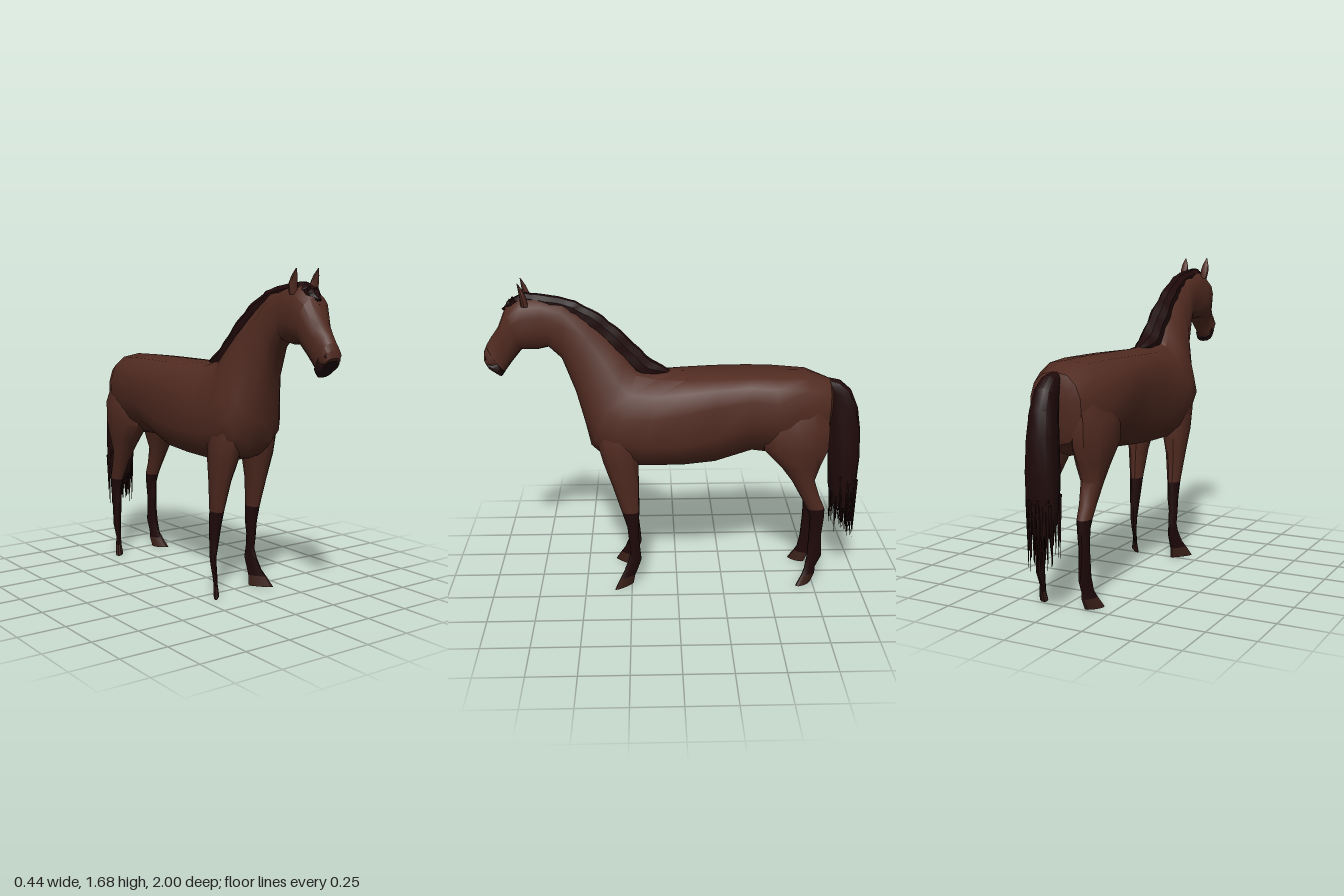
import * as THREE from 'three';
import { mergeGeometries, toCreasedNormals } from 'three/addons/utils/BufferGeometryUtils.js';

const mat = (name, color) => Object.assign(new THREE.MeshStandardMaterial({ color }), { name });

let seed = 7;
const rnd = () => (seed = (seed * 16807) % 2147483647) / 2147483647;

// Skin over a list of rings (arrays of Vector3), closed at both ends
function loft(rings, crease = 0.6) {
  const n = rings[0].length, pos = [], idx = [];
  rings.forEach(r => r.forEach(p => pos.push(p.x, p.y, p.z)));
  for (let i = 0; i < rings.length - 1; i++) {
    for (let j = 0; j < n; j++) {
      const a = i * n + j, b = i * n + (j + 1) % n;
      idx.push(a, b, a + n, b, b + n, a + n);
    }
  }
  [0, rings.length - 1].forEach(i => {
    const c = rings[i].reduce((s, p) => s.add(p), new THREE.Vector3()).divideScalar(n);
    const k = pos.length / 3;
    pos.push(c.x, c.y, c.z);
    for (let j = 0; j < n; j++) {
      const a = i * n + j, b = i * n + (j + 1) % n;
      if (i) idx.push(k, a, b); else idx.push(k, b, a);
    }
  });
  const g = new THREE.BufferGeometry();
  g.setAttribute('position', new THREE.Float32BufferAttribute(pos, 3));
  g.setIndex(idx);
  return toCreasedNormals(g, crease);
}

// Ring between an upper point (tz, ty) and a lower point (bz, by): half width w,
// squareness p of the upper and q of the lower half, height m of the widest place,
// wr the half width on the right where it differs
function section([tz, ty, bz, by, w, p = 0.85, m = 0.5, q = 0.85, wr = w], n = 14) {
  return Array.from({ length: n }, (_, j) => {
    const a = (j / n) * Math.PI * 2 + Math.PI / n, c = Math.cos(a), s = Math.sin(a);
    const e = s > 0 ? p : q;
    const v = Math.sign(s) * Math.abs(s) ** e;
    const h = v > 0 ? m + (1 - m) * v : m + m * v;
    return new THREE.Vector3(Math.sign(c) * Math.abs(c) ** e * (c > 0 ? w : wr), by + (ty - by) * h, bz + (tz - bz) * h);
  });
}

// Horizontal leg ring: height, front z, back z, inner x, outer x, outward slant of the toe
function legRing([y, zf, zb, xi, xo, slant = 0], side) {
  const rx = (xo - xi) / 2;
  return Array.from({ length: 10 }, (_, j) => {
    const a = (j / 10) * Math.PI * 2;
    const x = side * (xi + rx) + Math.cos(a) * rx * (1 - slant) + side * Math.sin(a) * rx * slant;
    return new THREE.Vector3(x, y, (zf + zb) / 2 + Math.sin(a) * (zf - zb) / 2);
  });
}

export function createModel() {
  const group = new THREE.Group();
  const coat = mat('brown coat', 0x512b21);
  const dark = mat('dark hair', 0x1f090a);
  const hoofMat = mat('hoof brown', 0x3a1f18);
  const add = (name, geo, m, parent = group) => {
    const mesh = new THREE.Mesh(geo, m);
    mesh.name = name;
    parent.add(mesh);
    return mesh;
  };

  // Trunk, neck and head in one skin, rump to nose
  const trunk = [
    [-0.83, 1.10, -0.81, 0.86, 0.09, 0.85],
    [-0.81, 1.15, -0.79, 0.80, 0.14, 0.85],
    [-0.69, 1.195, -0.68, 0.73, 0.185, 0.78, 0.55, 0.95, 0.195],
    [-0.52, 1.20, -0.52, 0.74, 0.215, 0.7, 0.58, 1, 0.228],
    [-0.38, 1.20, -0.40, 0.755, 0.19, 0.6, 0.55, 1, 0.228],
    [-0.20, 1.20, -0.20, 0.70, 0.205, 0.55, 0.48, 0.9, 0.218],
    [-0.04, 1.20, -0.03, 0.69, 0.222, 0.62, 0.43, 0.85, 0.208],
    [0.10, 1.205, 0.20, 0.685, 0.205, 0.85, 0.42],
    [0.20, 1.23, 0.38, 0.725, 0.19, 1, 0.38, 0.95, 0.198],
    [0.25, 1.30, 0.46, 0.80, 0.18, 1.1, 0.35, 0.95, 0.19],
    [0.32, 1.38, 0.485, 0.92, 0.143, 1.1, 0.35],
    [0.45, 1.49, 0.53, 1.09, 0.094, 1, 0.4],
    [0.58, 1.57, 0.595, 1.27, 0.077],
    [0.70, 1.60, 0.66, 1.335, 0.073],
    [0.80, 1.605, 0.72, 1.322, 0.088],
    [0.875, 1.55, 0.80, 1.325, 0.091],
    [0.92, 1.44, 0.85, 1.265, 0.064],
    [0.96, 1.385, 0.88, 1.225, 0.05],
    [0.985, 1.345, 0.895, 1.205, 0.05],
  ];
  add('body', loft(trunk.map(s => section(s)), 0.7), coat);

  // Nose above, dark lips below
  add('nose', loft([
    [0.985, 1.345, 0.915, 1.235, 0.05], [0.999, 1.31, 0.945, 1.23, 0.053], [1.0, 1.275, 0.975, 1.24, 0.042],
  ].map(s => section(s))), coat);
  add('lips', loft([
    [0.94, 1.27, 0.895, 1.203, 0.048], [0.975, 1.265, 0.912, 1.18, 0.052], [0.995, 1.262, 0.96, 1.212, 0.043],
  ].map(s => section(s))), dark);

  // Mane along the crest, ragged, ending in the forelock
  const crest = new THREE.CatmullRomCurve3([
    [0.03, 1.195], [0.14, 1.265], [0.29, 1.41], [0.42, 1.515], [0.55, 1.58], [0.68, 1.605], [0.79, 1.612], [0.86, 1.572], [0.89, 1.535],
  ].map(([z, y]) => new THREE.Vector3(0, y, z)));
  const N = 36;
  add('mane', loft(Array.from({ length: N + 1 }, (_, i) => {
    const u = i / N, p = crest.getPoint(u), t = crest.getTangent(u);
    const end = Math.min(1, 0.2 + 7 * u, 0.15 + 6 * (1 - u));
    const depth = (0.035 + 0.06 * (1 - u)) * end + rnd() * 0.014;
    const w = (0.036 + 0.026 * Math.max(0, 1 - 2.2 * u)) * end + rnd() * 0.012;
    const lift = rnd() * 0.008;
    return section([p.z - t.y * lift, p.y + t.z * lift, p.z + t.y * depth, p.y - t.z * depth, w, 0.9, 0.35], 8);
  }), 0.5), dark);

  // Loose locks hanging over the forehead
  const locks = [-0.036, -0.018, 0, 0.018, 0.036].map(x => {
    const g = new THREE.ConeGeometry(0.014, 0.08 + rnd() * 0.03, 4);
    g.rotateX(Math.PI - 0.6);
    return g.translate(x, 1.545, 0.868 - Math.abs(x) * 0.4);
  });
  add('forelock', mergeGeometries(locks), dark);

  // Ears and nostrils
  const earRings = [
    [1.68, 0.803, 0.799, 0.066, 0.07], [1.645, 0.798, 0.776, 0.05, 0.083],
    [1.61, 0.793, 0.76, 0.042, 0.09], [1.56, 0.79, 0.752, 0.04, 0.08],
  ];
  for (const side of [1, -1]) {
    const label = side > 0 ? 'left' : 'right';
    add(label + 'Ear', loft(earRings.map(r => legRing(r, side))), coat);
    const nostril = add(label + 'Nostril', new THREE.SphereGeometry(0.01, 8, 6), dark);
    nostril.scale.set(0.5, 1.2, 0.8);
    nostril.position.set(side * 0.045, 1.285, 0.982);
  }

  // Legs: brown upper part, dark stocking, hoof with the toe turned outward
  const front = [
    [1.0, 0.38, 0.20, 0.05, 0.165], [0.86, 0.43, 0.195, 0.02, 0.188], [0.73, 0.395, 0.20, 0.035, 0.185],
    [0.60, 0.35, 0.205, 0.066, 0.168], [0.44, 0.30, 0.205, 0.084, 0.151], [0.35, 0.272, 0.205, 0.088, 0.149],
    [0.28, 0.265, 0.208, 0.098, 0.146], [0.20, 0.255, 0.20, 0.10, 0.145, 0.2], [0.15, 0.27, 0.195, 0.098, 0.148, 0.45],
    [0.09, 0.295, 0.215, 0.10, 0.16, 0.6], [0.055, 0.315, 0.23, 0.098, 0.178, 0.68], [0, 0.345, 0.24, 0.09, 0.205, 0.7],
  ];
  const hind = [
    [1.08, -0.52, -0.78, 0.04, 0.15], [0.92, -0.45, -0.81, 0.02, 0.215], [0.80, -0.45, -0.808, 0.025, 0.214],
    [0.70, -0.55, -0.765, 0.045, 0.197], [0.62, -0.61, -0.738, 0.07, 0.18], [0.52, -0.665, -0.77, 0.085, 0.165],
    [0.45, -0.70, -0.80, 0.09, 0.157], [0.40, -0.72, -0.80, 0.095, 0.152], [0.30, -0.72, -0.79, 0.10, 0.147],
    [0.16, -0.712, -0.797, 0.10, 0.15, 0.3], [0.09, -0.70, -0.765, 0.10, 0.155, 0.45],
    [0.055, -0.685, -0.765, 0.098, 0.17, 0.5], [0, -0.652, -0.74, 0.095, 0.195, 0.5],
  ];
  for (const [kind, rings, k] of [['Front', front, 4], ['Hind', hind, 6]]) {
    for (const side of [1, -1]) {
      const leg = new THREE.Group();
      leg.name = (side > 0 ? 'left' : 'right') + kind + 'Leg';
      group.add(leg);
      const r = rings.map(v => legRing(v, side)), h = r.length - 2;
      add('upperLeg', loft(r.slice(0, k + 1), 0.8), coat, leg);
      add('stocking', loft(r.slice(k, h + 1), 0.8), dark, leg);
      add('hoof', loft(r.slice(h)), hoofMat, leg);
    }
  }

  // Tail, tip to root, narrow toward the body, with thin strands at the lower end
  add('tail', loft([
    [-0.965, 0.40, -0.855, 0.43, 0.06], [-0.985, 0.52, -0.835, 0.53, 0.08], [-0.995, 0.70, -0.825, 0.69, 0.08],
    [-0.99, 0.86, -0.82, 0.82, 0.072], [-0.97, 0.99, -0.815, 0.93, 0.062], [-0.93, 1.085, -0.81, 1.0, 0.053],
    [-0.87, 1.137, -0.805, 1.03, 0.045], [-0.79, 1.155, -0.78, 1.06, 0.035],
  ].map(s => section([...s, 0.85, 0.58, 1], 12))), dark);
  const strands = Array.from({ length: 90 }, () => {
    const a = rnd() * Math.PI * 2, r = Math.sqrt(rnd());
    const len = 0.2 + rnd() * 0.15, top = 0.58 + rnd() * 0.04;
    const z = Math.sin(a) * r * 0.072;
    const g = new THREE.ConeGeometry(0.012, len, 4);
    g.rotateX(Math.PI);
    return g.translate(Math.cos(a) * r * 0.082, top - len / 2 + z * 0.5 - 0.01, -0.915 + z);
  });
  add('tailStrands', mergeGeometries(strands), dark);

  return group;
}
